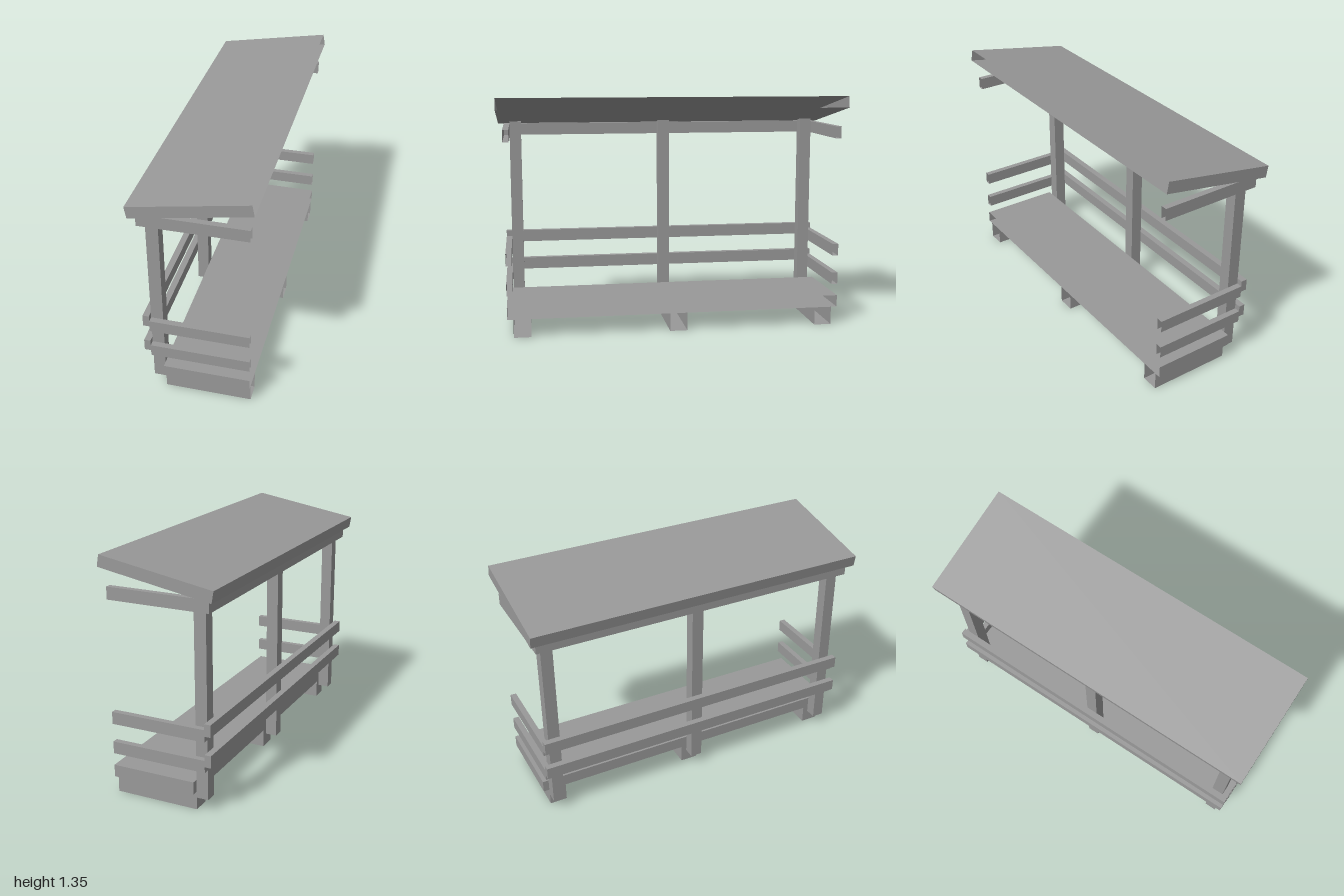
import * as THREE from 'three';

export function createModel() {
  const group = new THREE.Group();
  group.name = 'shelter';
  const material = new THREE.MeshStandardMaterial({
    color: 0x999999, flatShading: true, side: THREE.DoubleSide,
  });

  // Board spanning the given ranges; open boards have no end face at +x
  function board(name, [x0, x1], [y0, y1], [z0, z1], open = false) {
    const geometry = new THREE.BoxGeometry(x1 - x0, y1 - y0, z1 - z0);
    if (open) {
      geometry.setIndex(Array.from(geometry.index.array).slice(6));
      geometry.clearGroups();
    }
    const mesh = new THREE.Mesh(geometry, material);
    mesh.name = name;
    mesh.position.set((x0 + x1) / 2, (y0 + y1) / 2, (z0 + z1) / 2);
    group.add(mesh);
    return mesh;
  }

  // Bench deck
  board('deck', [-0.182, 0.302], [0.105, 0.174], [-0.965, 0.965], true);

  // Foot beams under the deck
  for (const [z0, z1] of [[0.83, 0.93], [-0.066, 0.035], [-0.93, -0.83]]) {
    board('footBeam', [-0.182, 0.302], [0, 0.105], [z0, z1], true);
  }

  // Back posts
  for (const z of [-0.897, 0, 0.897]) {
    board('post', [-0.25, -0.182], [0.07, 1.19], [z - 0.034, z + 0.034]);
  }

  // Long rails behind the posts
  for (const y of [0.276, 0.448, 1.105]) {
    board('backRail', [-0.286, -0.25], [y, y + 0.069], [-0.965, 0.965]);
  }

  // Short rails on both ends
  for (const side of [-1, 1]) {
    const z = side > 0 ? [0.931, 0.965] : [-0.965, -0.931];
    for (const y of [0.243, 0.415, 1.105]) {
      board('sideRail', [-0.25, 0.302], [y, y + 0.069], z, true);
    }
  }

  // Sloping roof slab
  const roof = board('roof', [-0.328, 0.328], [1.225, 1.291], [-1, 1], true);
  roof.rotation.z = THREE.MathUtils.degToRad(10);

  return group;
}
